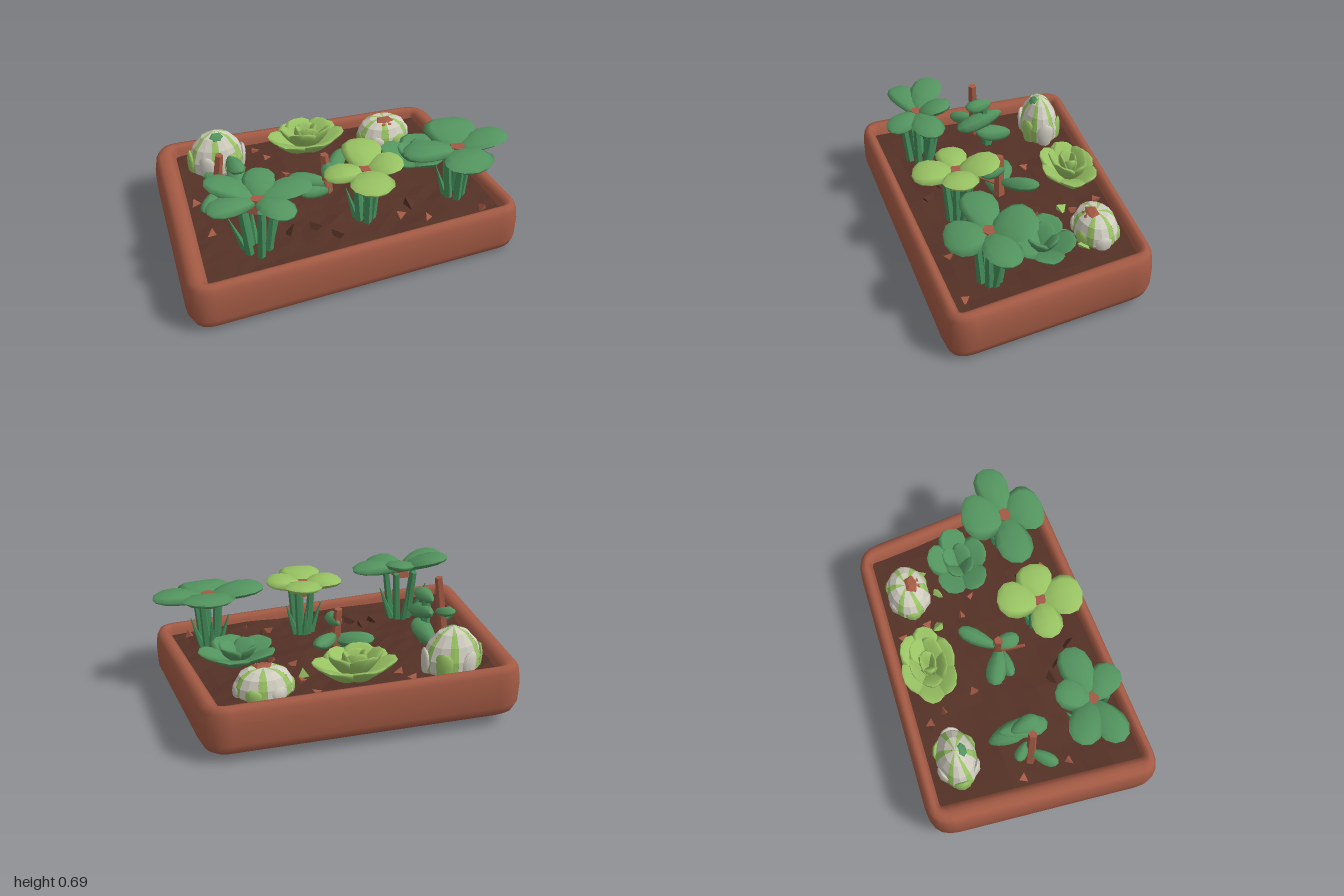
import * as THREE from 'three';

const mat = (name, color) => Object.assign(new THREE.MeshStandardMaterial({ color }), { name });

export function createModel() {
  const clay = mat('terracotta', 0xa35a44), soilMat = mat('soil', 0x543126);
  const dark = mat('dark green', 0x53945f), stemMat = mat('stem green', 0x448d5b);
  const light = mat('light green', 0x98c263), pale = mat('cream', 0xcfccbf);
  const model = new THREE.Group();
  const V = (x, y, z) => new THREE.Vector3(x, y, z);
  let seed = 7;
  const rnd = () => (seed = (seed * 16807) % 2147483647) / 2147483647;
  const slope = (x, z) => 0.04 * (0.6 - z) - 0.01 * x;

  function add(parent, name, geo, material, flat = true) {
    if (flat && geo.index) geo = geo.toNonIndexed();
    geo.computeVertexNormals();
    const mesh = new THREE.Mesh(geo, material);
    mesh.name = name;
    parent.add(mesh);
    return mesh;
  }
  function plant(name, x, y, z) {
    const g = new THREE.Group();
    g.name = name;
    g.position.set(x, y, z);
    model.add(g);
    return g;
  }

  // Tray: rounded four-cornered loops skinned from the base, up and over the rim
  const corners = [[-0.96, -0.675], [-1.01, 0.68], [1.0, 0.53], [0.835, -0.675]];
  function outline(inset) {
    const c = corners.map(([x, z]) => V(x + inset * (x < 0 ? 1.3 : -1), 0, z - Math.sign(z) * inset * 0.8));
    const r = Math.max(0.02, 0.155 - inset * 1.3), pts = [];
    c.forEach((p, i) => {
      const a = c[(i + 3) % 4].clone().sub(p).setLength(r).add(p);
      const b = c[(i + 1) % 4].clone().sub(p).setLength(r).add(p);
      pts.push(...new THREE.QuadraticBezierCurve3(a, p, b).getPoints(5));
    });
    return pts;
  }
  const rings = [[0.1, 0, 0], [0.1, 0, 1], [0.07, 0.003, 1], [0.025, 0.03, 1], [0.003, 0.08, 1], [0, 0.2, 1],
    [0.012, 0.27, 1], [0.03, 0.298, 1], [0.055, 0.305, 1], [0.075, 0.302, 1], [0.1, 0.28, 1], [0.11, 0.2, 1]];
  const pos = [], idx = [], n = 24;
  rings.forEach(([inset, y, s], j) => {
    outline(inset).forEach((p, i) => {
      // The back left corner of the rim stands a little proud
      const lift = y > 0.25 ? 0.025 * Math.max(0, -p.x) * Math.max(0, -p.z) : 0;
      pos.push(p.x * s, y + lift + slope(p.x * s, p.z * s), p.z * s);
      if (j === rings.length - 1) return;
      const a = j * n + i, b = j * n + (i + 1) % n;
      idx.push(a, b, b + n, a, b + n, a + n);
    });
  });
  const trayGeo = new THREE.BufferGeometry();
  trayGeo.setAttribute('position', new THREE.Float32BufferAttribute(pos, 3));
  trayGeo.setIndex(idx);
  add(model, 'tray', trayGeo, clay, false);

  // Uneven soil stretched between the tray's inner corners
  const soil = new THREE.PlaneGeometry(1, 1, 18, 14).rotateX(-Math.PI / 2);
  const sp = soil.attributes.position;
  for (let i = 0; i < sp.count; i++) {
    const u = sp.getX(i) + 0.5, v = sp.getZ(i) + 0.5;
    const x = THREE.MathUtils.lerp(-0.84 - 0.05 * v, 0.74 + 0.16 * v, u);
    const z = THREE.MathUtils.lerp(-0.59, 0.595 - 0.145 * u, v);
    sp.setXYZ(i, x, 0.245 + slope(x, z) + 0.01 * Math.sin(9 * x) * Math.cos(8 * z) + 0.01 * rnd(), z);
  }
  add(model, 'soil', soil, soilMat);

  // Fleshy leaf running along +z, cupped across its width and curled toward its tip
  function leaf(parent, name, material, { at = [0, 0, 0], angle = 0, tilt = 0, len, wide, thick = 0.05, curl = 0, cup = 0.15 }) {
    const g = new THREE.SphereGeometry(1, 8, 7).rotateX(Math.PI / 2);
    const p = g.attributes.position;
    for (let i = 0; i < p.count; i++) {
      const t = (p.getZ(i) + 1) / 2, x = p.getX(i) * (0.66 + 0.6 * t) * wide / 2;
      p.setXYZ(i, x, p.getY(i) * thick / 2 + cup * Math.abs(x) + curl * t * t, t * len);
    }
    const m = add(parent, name, g, material, false);
    m.position.set(...at);
    m.rotation.set(-tilt, angle, 0, 'YXZ');
  }
  function rod(parent, name, material, a, b, r0, r1, sides = 6) {
    const d = b.clone().sub(a);
    const m = add(parent, name, new THREE.CylinderGeometry(r1, r0, d.length(), sides), material);
    m.position.copy(a).add(b).multiplyScalar(0.5);
    m.quaternion.setFromUnitVectors(V(0, 1, 0), d.normalize());
  }

  // Tall plants: broad petals on fanned stems with short blades between; tips are [dx, dz, rise, width]
  function tallPlant(name, x, y, z, material, spread, tips) {
    const g = plant(name, x, y, z);
    tips.forEach(([dx, dz, dy, wide]) => {
      const len = Math.hypot(dx, dz);
      leaf(g, 'petal', material, { angle: Math.atan2(dx, dz), tilt: Math.atan2(dy + 0.05, len), len: len * 1.03,
        wide, thick: 0.075, curl: -0.05, cup: 0.06 });
    });
    rod(g, 'flowerHeart', clay, V(0, -0.045, 0), V(0, 0.036, 0), 0.06, 0.045, 5);
    for (let i = 0; i < 5; i++) {
      const a = i * 1.257 + 0.3, c = Math.cos(a) * spread, s = Math.sin(a) * spread;
      rod(g, 'stem', stemMat, V(c * 0.45, 0.23 - y, s * 0.5), V(c * 0.8, 0, s * 0.8), 0.026, 0.02, 5);
      if (i < 3) rod(g, 'blade', stemMat, V(-c * 0.5, 0.23 - y, -s * 0.5), V(-c * 1.3, -0.1, -s * 1.1), 0.026, 0.003, 5);
    }
  }
  tallPlant('frontLeftPlant', -0.55, 0.575, 0.36, dark, 0.12, [[0.31, -0.04, 0.03, 0.19], [0.15, 0.18, 0, 0.18],
    [-0.27, 0.09, 0.05, 0.18], [-0.25, -0.14, 0.11, 0.19], [0.08, -0.19, 0.1, 0.18]]);
  tallPlant('frontMiddlePlant', 0.1, 0.56, 0.27, light, 0.085,
    [[0.04, -0.24, 0.08, 0.23], [0.21, 0.01, 0.05, 0.21], [-0.02, 0.24, 0.02, 0.25], [-0.23, 0, 0.02, 0.18]]);
  tallPlant('frontRightPlant', 0.67, 0.565, 0.23, dark, 0.09,
    [[0.02, -0.25, 0.07, 0.31], [0.31, -0.03, 0.04, 0.2], [0.02, 0.23, 0, 0.3], [-0.32, 0.01, 0.04, 0.21]]);

  // Low rosettes: rings of leaves, steeper and shorter toward the heart
  function rosette(name, x, y, z, material, rx, rz, layers) {
    const g = plant(name, x, y, z);
    g.scale.set(rx, rx, rz);
    layers.forEach(([count, size, tilt], k) => {
      for (let i = 0; i < count; i++) leaf(g, 'rosetteLeaf', material, {
        at: [0, 0.05 * k, 0], angle: i * 2 * Math.PI / count + k * 0.6 + 0.3, tilt, len: size,
        wide: size * 0.85, thick: 0.18, curl: 0.05, cup: 0.2 });
    });
  }
  rosette('darkRosette', 0.555, 0.29, -0.09, dark, 0.245, 0.2, [[5, 1, 0.35], [4, 0.65, 0.7]]);
  rosette('lightRosette', -0.035, 0.29, -0.435, light, 0.27, 0.185, [[6, 1, 0.42], [5, 0.85, 0.75], [4, 0.62, 1.1]]);

  // Staked climbers
  const climb = (g, list) => list.forEach(([x, y, z, angle, tilt, len, wide, thick]) =>
    leaf(g, 'climberLeaf', dark, { at: [x, y, z], angle, tilt, len, wide, thick, cup: -0.1 }));
  const left = plant('leftClimber', -0.62, 0, -0.03);
  rod(left, 'stake', clay, V(-0.09, 0.24, 0), V(-0.04, 0.66, 0.02), 0.032, 0.024, 5);
  climb(left, [[0.06, 0.51, -0.14, 0, -0.3, 0.3, 0.13, 0.09], [0.03, 0.56, -0.08, 0.2, 0.05, 0.17, 0.1, 0.08],
    [0.06, 0.34, -0.2, 0.1, 0.25, 0.24, 0.13, 0.1], [-0.06, 0.4, 0, -0.7, -0.1, 0.18, 0.08, 0.08],
    [-0.02, 0.45, 0, -2.3, 0.2, 0.13, 0.07, 0.06]]);
  rod(left, 'stem', stemMat, V(0.06, 0.24, -0.05), V(0.05, 0.55, -0.03), 0.035, 0.025);
  const mid = plant('middleClimber', -0.04, 0, -0.02);
  rod(mid, 'stake', clay, V(0.01, 0.24, 0.01), V(-0.01, 0.53, 0), 0.035, 0.025, 5);
  rod(mid, 'twig', clay, V(0, 0.34, 0), V(-0.04, 0.41, 0.15), 0.015, 0.01, 5);
  climb(mid, [[0.02, 0.33, 0.02, -2.0, 0.1, 0.25, 0.12, 0.09], [0.01, 0.36, 0, 2.45, 0.2, 0.25, 0.1, 0.08],
    [0, 0.45, -0.03, 0.05, -0.05, 0.16, 0.1, 0.08], [0.03, 0.29, 0.02, -1.5, 0.1, 0.2, 0.08, 0.08]]);

  // Bulbs: domes of broad cream and green wedges inside short outer scales, capped toward the front
  function bulb(name, x, z, r, depth, height, shape, capMat, capSize, capTilt) {
    const g = plant(name, x, 0.25, z);
    const profile = (k) => shape.map(([a, b]) => new THREE.Vector2(a * r * k, b * height));
    const count = 6, step = 2 * Math.PI / count;
    for (let i = 0; i < count; i++) {
      const wedge = (k, from, size, part, m) => {
        add(g, part, new THREE.LatheGeometry(profile(k), 2, from, size), m).scale.z = depth;
      };
      wedge(1, i * step, step * 0.7, 'creamScale', pale);
      wedge(0.99, (i + 0.7) * step, step * 0.3, 'greenStripe', light);
    }
    for (let i = 0; i < 6; i++) {
      const a = i * Math.PI / 3 + 0.5;
      leaf(g, 'outerScale', i % 2 ? pale : light, { at: [Math.sin(a) * r * 0.88, 0, Math.cos(a) * r * 0.88 * depth],
        angle: a, tilt: 1.5, len: height * 0.6, wide: r * 0.65, thick: 0.045 });
    }
    const cap = add(g, 'cap', new THREE.SphereGeometry(capSize, 6, 4), capMat);
    cap.position.set(0, height * 0.88, 0.035);
    cap.scale.set(1, 0.4, 0.75);
    cap.rotation.x = capTilt;
  }
  bulb('leftBulb', -0.6, -0.43, 0.17, 0.68, 0.31,
    [[0.7, 0], [0.98, 0.2], [1, 0.42], [0.82, 0.68], [0.5, 0.88], [0, 1]], dark, 0.05, 0.7);
  bulb('rightBulb', 0.47, -0.43, 0.165, 0.75, 0.19,
    [[0.8, 0], [1, 0.3], [0.97, 0.55], [0.8, 0.82], [0.5, 0.97], [0, 1]], clay, 0.075, 0.4);

  // Clods and leaf scraps lying on the soil
  const chip = (name, x, z, s, m) => {
    const c = add(model, name, new THREE.TetrahedronGeometry(s), m);
    c.position.set(x, 0.255 + slope(x, z), z);
    c.rotation.set(rnd() * 3, rnd() * 3, rnd() * 3);
  };
  [[-0.35, -0.51], [-0.3, -0.42], [-0.23, -0.22], [-0.77, 0.18], [-0.8, -0.1], [0.25, -0.16], [0.36, -0.08],
    [0.44, 0.4], [0.3, 0.33], [0.2, -0.53], [-0.2, -0.07], [0.78, 0.4], [0.25, -0.37]].forEach(([x, z]) => chip('clayChip', x, z, 0.035, clay));
  [[-0.27, 0.24], [-0.34, 0.3], [-0.1, 0.4], [0.38, 0.25], [-0.2, 0.3]].forEach(([x, z]) => chip('soilClod', x, z, 0.055, soilMat));
  [[0.22, -0.31], [0.43, -0.26], [0.57, -0.33]].forEach(([x, z]) => chip('leafScrap', x, z, 0.045, light));

  return model;
}
